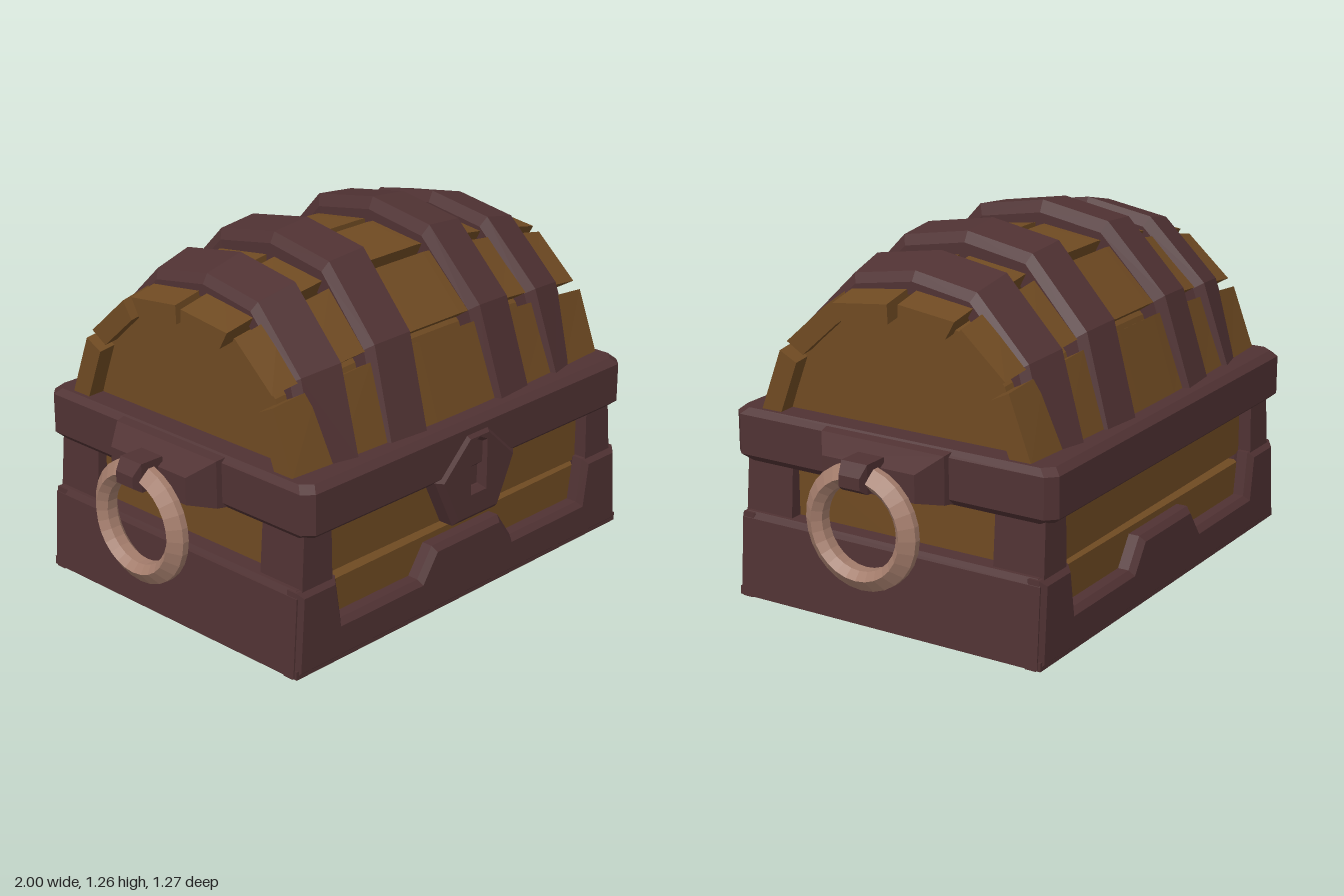
import * as THREE from 'three';

const mat = (name, color, side = THREE.FrontSide) => {
  const m = new THREE.MeshStandardMaterial({ color, flatShading: true, side });
  m.name = name;
  return m;
};

// Skin a row of equal-length cross-sections; faces are turned outward by signed volume.
function loft(sections, caps = true) {
  const tris = [];
  const n = sections[0].length;
  for (let i = 0; i < sections.length - 1; i++) {
    for (let j = 0; j < n; j++) {
      const k = (j + 1) % n;
      const [a, b, c, d] = [sections[i][j], sections[i][k], sections[i + 1][k], sections[i + 1][j]];
      tris.push([a, b, c], [a, c, d]);
    }
  }
  if (caps) {
    const s = sections[0], e = sections[sections.length - 1];
    for (let j = 1; j < n - 1; j++) tris.push([s[0], s[j + 1], s[j]], [e[0], e[j], e[j + 1]]);
  }
  let vol = 0;
  for (const [a, b, c] of tris) {
    vol += a[0] * (b[1] * c[2] - b[2] * c[1]) + a[1] * (b[2] * c[0] - b[0] * c[2]) + a[2] * (b[0] * c[1] - b[1] * c[0]);
  }
  if (vol < 0) tris.forEach((t) => t.reverse());
  const g = new THREE.BufferGeometry();
  g.setAttribute('position', new THREE.Float32BufferAttribute(tris.flat(2), 3));
  g.computeVertexNormals();
  return g;
}

// Horizontal rectangle with optional cut corners
const loop = (x0, x1, z0, z1, y, c = 0) => c
  ? [[x0 + c, y, z0], [x1 - c, y, z0], [x1, y, z0 + c], [x1, y, z1 - c], [x1 - c, y, z1], [x0 + c, y, z1], [x0, y, z1 - c], [x0, y, z0 + c]]
  : [[x0, y, z0], [x1, y, z0], [x1, y, z1], [x0, y, z1]];

function plate(points, depth, bevel, hole) {
  const toShape = (p, C) => new C(p.map(([x, y]) => new THREE.Vector2(x, y)));
  const s = toShape(points, THREE.Shape);
  if (hole) s.holes.push(toShape(hole, THREE.Path));
  return new THREE.ExtrudeGeometry(s, {
    depth, bevelEnabled: bevel > 0, bevelSize: bevel, bevelOffset: -bevel, bevelThickness: bevel, bevelSegments: 1,
  });
}

export function createModel() {
  const root = new THREE.Group();
  root.name = 'treasureChest';
  const iron = mat('darkIron', 0x503233);
  const wood = mat('wood', 0x6f4a22);
  const brass = mat('handleMetal', 0xa37c6b);
  const add = (name, geo, material, parent = root) => {
    const m = new THREE.Mesh(geo, material);
    m.name = name;
    parent.add(m);
    return m;
  };

  // Wooden body with two boards on the front and back
  add('body', loft([loop(-0.74, 0.74, -0.5, 0.5, 0.015), loop(-0.74, 0.74, -0.5, 0.5, 0.55)]), wood);
  for (const s of [-1, 1]) {
    for (const [y0, y1, d] of [[0.09, 0.262, 0.545], [0.285, 0.52, 0.54]]) {
      const m = add('bodyBoard', new THREE.BoxGeometry(1.36, y1 - y0, 0.08), wood);
      m.position.set(0, (y0 + y1) / 2, s * (d - 0.04));
      m.rotation.z = y0 < 0.2 ? 0.006 : -0.006;
    }
  }

  // Iron base: notched front and back plates, solid ends, open bottom frame
  const half = [[0.83, 0], [0.81, 0.3], [0.635, 0.3], [0.61, 0.14], [0.24, 0.14], [0.17, 0.24]];
  const outline = [...half, ...half.map(([x, y]) => [-x, y]).reverse()];
  for (const s of [-1, 1]) {
    const p = add('basePlate', plate(outline, 0.04, 0.02), iron);
    p.position.z = s * 0.565;
    p.position.z -= 0.02;
    const x = (a, b) => (s > 0 ? [a, b] : [-b, -a]);
    add('baseEnd', loft([
      loop(...x(0.7, 0.83), -0.59, 0.59, 0.005),
      loop(...x(0.7, 0.812), -0.59, 0.59, 0.28),
      loop(...x(0.7, 0.8), -0.575, 0.575, 0.302),
    ]), iron);
  }
  const rect = (x, z) => [[-x, -z], [x, -z], [x, z], [-x, z]];
  const bottom = plate(rect(0.825, 0.6), 0.03, 0, rect(0.59, 0.38));
  bottom.rotateX(-Math.PI / 2);
  add('bottomFrame', bottom, iron);

  // Corner posts
  for (const sx of [-1, 1]) for (const sz of [-1, 1]) {
    const corner = (x, z, y) => [[0.65, 0.4], [x, 0.4], [x, z], [0.65, z]].map(([a, b]) => [sx * a, y, sz * b]);
    add('cornerPost', loft([corner(0.79, 0.59, 0.25), corner(0.77, 0.585, 0.52)]), iron);
  }

  // Rim around the chest
  add('rim', loft([[0.775, 0.6, 0.475], [0.8, 0.63, 0.5], [0.8, 0.63, 0.64], [0.78, 0.605, 0.662]]
    .map(([x, z, y]) => loop(-x, x, -z, z, y, 0.035))), iron);

  // Clasp with a keyhole slot
  const clasp = plate(
    [[-0.11, 0.305], [0.11, 0.305], [0.2, 0.49], [0.055, 0.625], [-0.055, 0.625], [-0.2, 0.49]], 0.055, 0.02,
    [[-0.02, 0.42], [-0.02, 0.57], [0, 0.58], [0.02, 0.57], [0.02, 0.42]]);
  add('clasp', clasp, iron).position.z = 0.567;
  add('claspBack', new THREE.BoxGeometry(0.14, 0.22, 0.04), iron).position.set(0, 0.49, 0.595);

  // Lid: barrel section that swells towards the middle
  const arc = [[0.53, 0], [0.44, 0.24], [0.25, 0.41], [0, 0.44]];
  const mirrored = (p) => [...p, ...p.slice(0, -1).reverse().map(([z, y]) => [-z, y])];
  const lidArc = mirrored(arc);
  const swell = ([z, y], x, inset = 1) => {
    const t = 1 - (x / 0.75) ** 2;
    return [x, 0.655 + y * (1 + 0.21 * t) * inset, z * (1 + 0.05 * t) * inset];
  };
  const stations = (w) => [-1, -0.75, -0.45, -0.15, 0.15, 0.45, 0.75, 1].map((f) => f * w);
  add('lidCore', loft(stations(0.7).map((x) => lidArc.map((p) => swell(p, x, 0.88)))), wood);
  for (let i = 0; i < 6; i++) {
    const [a, b] = [lidArc[i], lidArc[i + 1]];
    const f = 0.018 / Math.hypot(a[0] - b[0], a[1] - b[1]);
    const mix = (t) => [a[0] + (b[0] - a[0]) * t, a[1] + (b[1] - a[1]) * t];
    const low = i === 0 ? 0 : f, high = i === 5 ? 1 : 1 - f;
    const w = [0.765, 0.75, 0.755, 0.745, 0.755, 0.765][i];
    add('lidPlank', loft(stations(w).map((x) => [
      swell(mix(low), x), swell(mix(high), x), swell(mix(high), x, 0.85), swell(mix(low), x, 0.85),
    ])), wood);
  }

  // Iron bands over the lid, leaning inward towards the top
  const bandArc = mirrored([[0.58, -0.04], [0.575, 0], [0.48, 0.32], [0.26, 0.555], [0, 0.6]]);
  for (const s of [-1, 1]) {
    for (const [x0, x1, ky, kz, drop] of [[0.14, 0.335, 1, 1, 0.975], [0.45, 0.64, 0.92, 0.975, 0.935]]) {
      add('lidBand', loft(bandArc.map(([z, y]) => {
        const lean = 0.03 * (1 - y / 0.6);
        const at = (x, k) => [s * (x + lean), 0.66 + y * ky * k, z * kz * k];
        return [at(x0, 0.8), at(x0, 0.93), at(x0 + 0.02, 1), at(x1 - 0.02, drop), at(x1, drop - 0.06), at(x1, 0.8)];
      })), iron);
    }
  }

  // Side handles: bracket, knob and split ring
  for (const s of [-1, 1]) {
    const handle = new THREE.Group();
    handle.name = s > 0 ? 'leftHandle' : 'rightHandle';
    root.add(handle);
    const face = (x, y0, y1, z) => [[s * x, y0, -z], [s * x, y1, -z], [s * x, y1, z], [s * x, y0, z]];
    add('bracket', loft([face(0.76, 0.478, 0.66, 0.25), face(0.82, 0.485, 0.65, 0.24), face(0.9, 0.505, 0.6, 0.18)]), iron, handle);
    add('knob', loft([face(0.88, 0.53, 0.63, 0.05), face(0.97, 0.53, 0.63, 0.05), face(1, 0.55, 0.59, 0.04)]), iron, handle);
    const ringProfile = [[0.145, -0.02], [0.172, -0.045], [0.215, -0.012], [0.215, 0.012], [0.172, 0.045], [0.145, 0.02]];
    const gap = 0.27, steps = 26;
    add('ring', loft(Array.from({ length: steps + 1 }, (_, i) => {
      const a = gap + (i / steps) * (Math.PI * 2 - gap * 2);
      return ringProfile.map(([r, x]) => [s * 0.935 + x, 0.403 + r * Math.cos(a), r * Math.sin(a)]);
    })), brass, handle);
  }
  return root;
}
